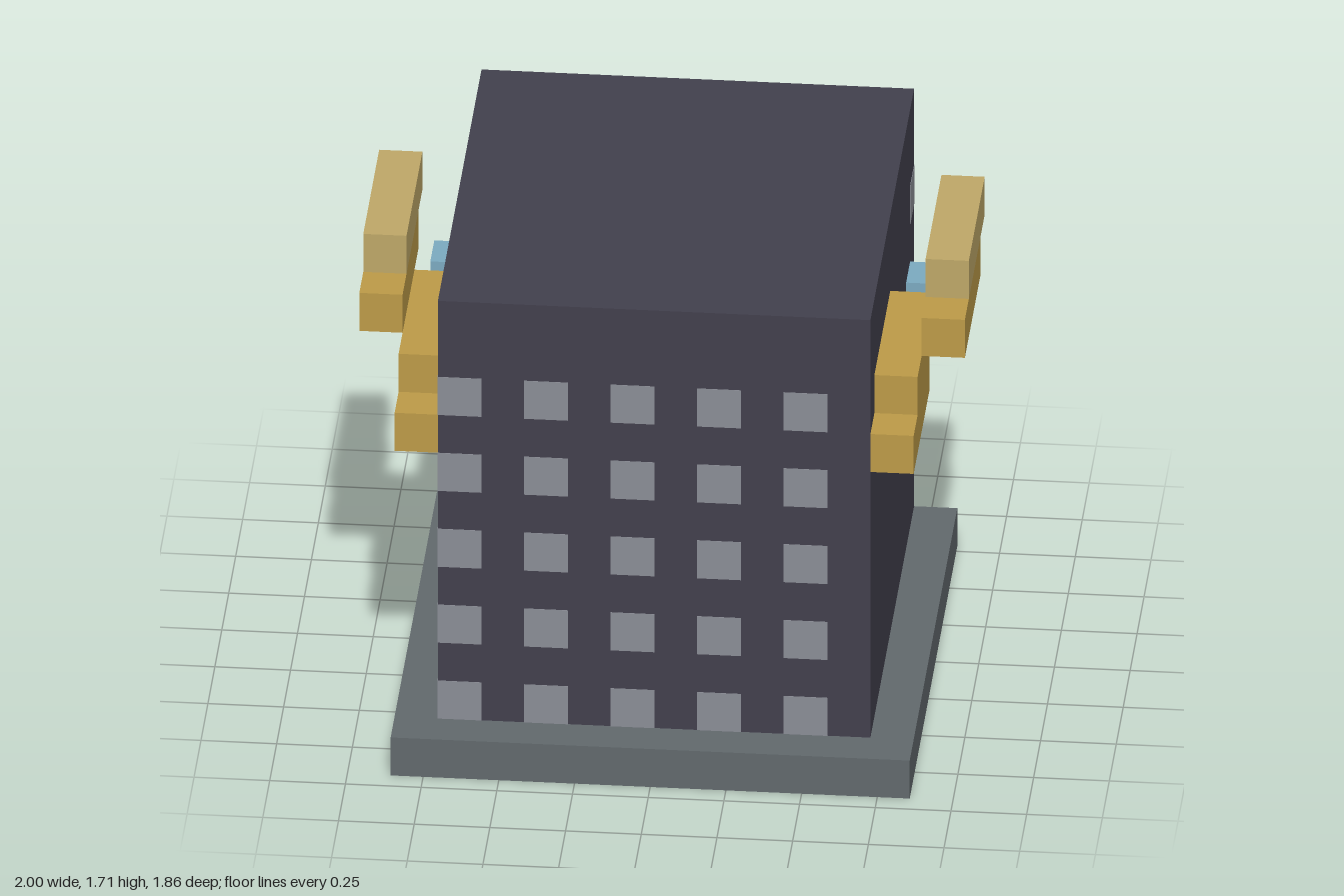
import * as THREE from 'three';

const U = 1 / 7; // one block

const mat = (name, color) => {
  const m = new THREE.MeshStandardMaterial({ color });
  m.name = name;
  return m;
};

export function createModel() {
  const model = new THREE.Group();
  model.name = 'blockHouse';

  const dark = mat('charcoal', 0x42404d);
  const stone = mat('stoneGrey', 0x62696d);
  const steel = mat('steelGrey', 0x8b8e96);
  const pale = mat('paleGrey', 0xabb4bb);
  const gold = mat('gold', 0xbd9b48);
  const tan = mat('paleGold', 0xbfa868);
  const blue = mat('skyBlue', 0x7cabc1);

  // Box from [min, max] ranges in blocks; grow pushes inlays just proud of the wall
  const box = (name, material, [x0, x1], [y0, y1], [z0, z1], grow = 0, parent = model) => {
    const g = new THREE.BoxGeometry((x1 - x0) * U + grow, (y1 - y0) * U, (z1 - z0) * U + grow);
    const mesh = new THREE.Mesh(g, material);
    mesh.position.set((x0 + x1) / 2 * U, (y0 + y1) / 2 * U, (z0 + z1) / 2 * U);
    mesh.name = name;
    parent.add(mesh);
    return mesh;
  };

  // Base ring, open in the middle
  box('baseFront', stone, [-6, 6], [0, 1], [4.5, 6.5]);
  box('baseBack', stone, [-6, 6], [0, 1], [-5.5, -4.5]);
  for (const s of [-1, 1]) box('baseSide', stone, s < 0 ? [-6, -4] : [4, 6], [0, 1], [-4.5, 4.5]);

  // Hollow body
  box('roof', dark, [-5, 5], [11, 12], [-5.5, 5.5]);
  box('frontWall', dark, [-5, 5], [1, 11], [4.5, 5.5]);
  box('backLintel', dark, [-5, 5], [10, 11], [-5.5, -4.5]);

  // Grid of blocks set through the front wall
  const studs = new THREE.Group();
  studs.name = 'frontStuds';
  model.add(studs);
  for (let i = 0; i < 5; i++)
    for (let j = 0; j < 5; j++)
      box('stud', steel, [-5 + 2 * i, -4 + 2 * i], [1 + 2 * j, 2 + 2 * j], [4.5, 5.5], 0.003, studs);

  // Back: band, door frame and hanging block
  box('backBand', steel, [-5, 5], [9, 10], [-5.5, -4.5], 0.003);
  box('doorTop', stone, [-4, 4], [8, 9], [-5.5, -4.5]);
  box('doorSill', stone, [-4, 4], [1, 2], [-5.5, -4.5]);
  box('backBlock', pale, [-1, 1], [5, 10], [-6.5, -5.5]);

  // Mirrored side parts
  for (const s of [-1, 1]) {
    const side = new THREE.Group();
    side.name = s > 0 ? 'leftSide' : 'rightSide';
    model.add(side);
    const part = (name, m, [a, b], y, z) =>
      box(name, m, s > 0 ? [a, b] : [-b, -a], y, z, 0, side);

    part('sideWall', dark, [4, 5], [1, 11], [-4.5, 4.5]);
    part('backCorner', dark, [4, 5], [1, 9], [-5.5, -4.5]);
    part('doorPost', stone, [3, 4], [2, 8], [-5.5, -4.5]);
    part('sideCube', blue, [5, 6], [7, 8], [-4.5, -3.5]);

    // Stepped wing, each bar one block higher and further back
    for (let i = 0; i < 4; i++)
      part('wingBar', i === 3 ? tan : gold, i < 2 ? [5, 6] : [6, 7], [8 + i, 9 + i], [1.5 - i, 5.5 - i]);
  }
  return model;
}
